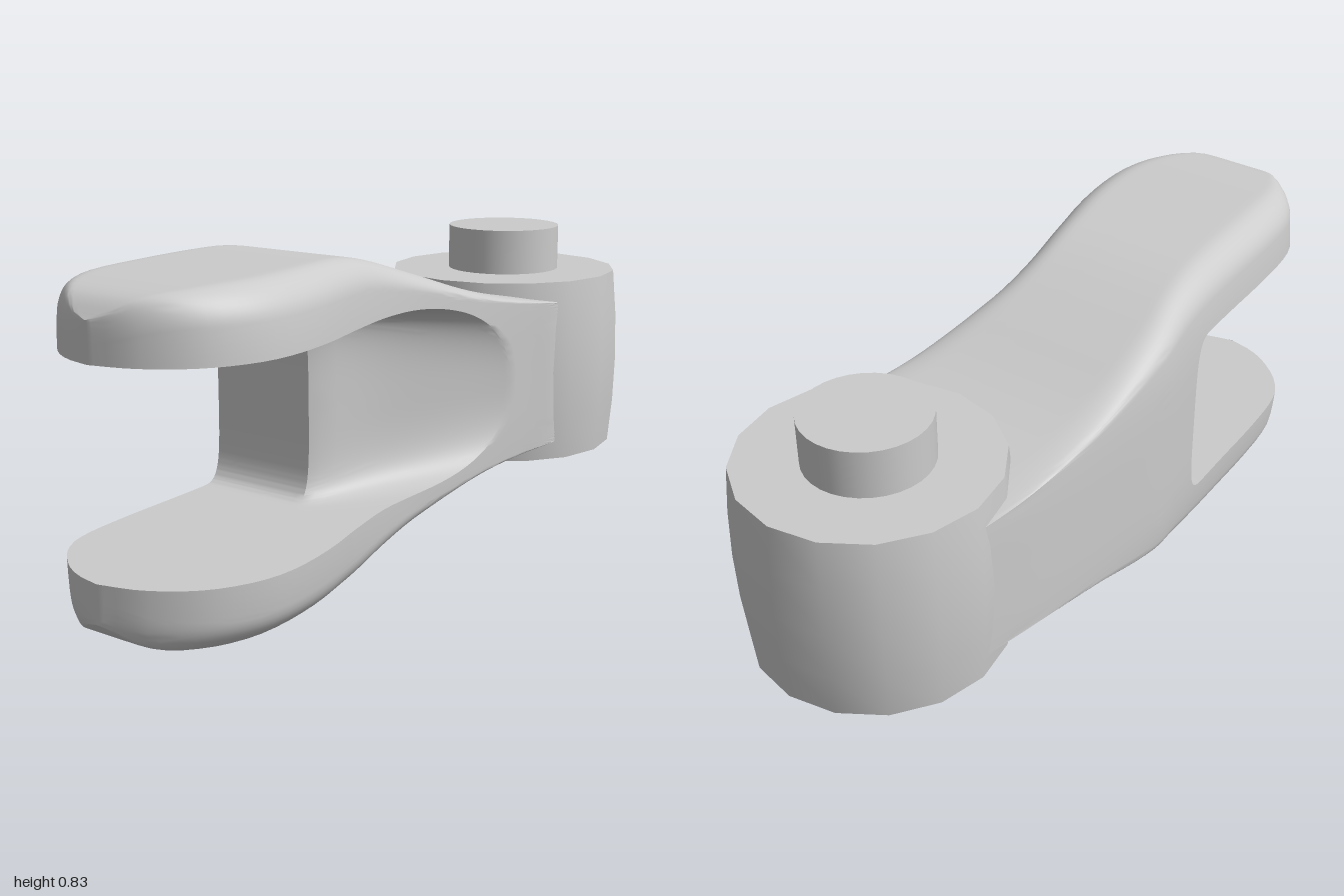
import * as THREE from 'three';
import { mergeGeometries, toCreasedNormals } from 'three/addons/utils/BufferGeometryUtils.js';

const MID = 0.4175;          // height of the mirror plane
const GAP = 0.2475;          // half height of the fork slot
const BACK = -0.65;          // where the body ends inside the barrel
const FLAT_END = 0.4;        // the inner faces are flat from here to the tip
const HOLE = { x: 0, z: 0.67, r: 0.16, depth: 0.125 };

const lerp = THREE.MathUtils.lerp;

// Smooth interpolation through [position, value] pairs
function curve(pts) {
  const slope = i => {
    const a = pts[Math.max(i - 1, 0)], b = pts[Math.min(i + 1, pts.length - 1)];
    return (b[1] - a[1]) / (b[0] - a[0]);
  };
  return z => {
    let i = 0;
    while (i < pts.length - 2 && z > pts[i + 1][0]) i++;
    const [z0, v0] = pts[i], [z1, v1] = pts[i + 1], d = z1 - z0;
    const t = THREE.MathUtils.clamp((z - z0) / d, 0, 1), t2 = t * t, t3 = t2 * t;
    return (2 * t3 - 3 * t2 + 1) * v0 + (t3 - 2 * t2 + t) * d * slope(i)
      + (3 * t2 - 2 * t3) * v1 + (t3 - t2) * d * slope(i + 1);
  };
}

// Plan outline (right and left edges) and half height along z
const edgeNeg = curve([[-0.7, -0.31], [-0.5, -0.335], [-0.2, -0.35], [0.05, -0.35], [0.18, -0.33],
  [0.4, -0.31], [0.65, -0.29], [0.8, -0.265], [0.88, -0.22], [0.95, -0.14], [0.985, -0.07], [1, 0]]);
const edgePos = curve([[-0.7, 0.29], [-0.5, 0.295], [-0.4, 0.27], [-0.3, 0.245], [-0.2, 0.225], [0, 0.193],
  [0.1, 0.19], [0.2, 0.2], [0.35, 0.235], [0.5, 0.275], [0.65, 0.297], [0.75, 0.29], [0.85, 0.25],
  [0.92, 0.19], [0.975, 0.1], [1, 0.01]]);
const halfHeight = curve([[-0.65, 0.19], [-0.5, 0.205], [-0.33, 0.235], [-0.2, 0.268], [0, 0.335],
  [0.2, 0.392], [0.35, 0.411], [0.7, 0.414], [0.85, 0.408], [0.95, 0.39], [1, 0.345]]);

// x across the body: u runs from -1 to 1, narrowing slightly away from the middle
const across = (u, z, h) =>
  lerp(edgeNeg(z), edgePos(z), (u + 1) / 2) * (1 - 0.1 * Math.pow(h / 0.41, 4));

// Slot wall: straight on one side, swept back into a scoop on the other
function wall(u) {
  const t = Math.max(0, (u - 0.2) / 0.8);
  const z = 0.23 - 0.55 * Math.pow(t, 1.15), a = 0.1 + 0.35 * t;
  return { a, start: z + a, p: lerp(0.5, 0.8, t) };
}

// Inner path: flat arm face, then rounded down the wall to the mirror plane
function inner(u, s) {
  const { a, start, p } = wall(u);
  if (s <= 0.3) return [lerp(1, FLAT_END, Math.pow(s / 0.3, 1.8)), GAP];
  if (s <= 0.5) return [lerp(FLAT_END, start, (s - 0.3) / 0.2), GAP];
  const q = (s - 0.5) * Math.PI;
  return [start - a * Math.pow(Math.sin(q), p), GAP * Math.pow(Math.max(0, Math.cos(q)), p)];
}

// Outer path: tip to barrel, with rounded long edges
function outer(u, s) {
  const { start } = wall(u);
  let z = BACK;
  if (s <= 0.3) z = lerp(1, FLAT_END, Math.pow(s / 0.3, 1.8));
  else if (s <= 0.5) z = lerp(FLAT_END, start, (s - 0.3) / 0.2);
  else if (s <= 0.9) z = lerp(start, BACK, (s - 0.5) / 0.4);
  const e = Math.max(0, (Math.abs(u) - 0.72) / 0.28);
  const h = halfHeight(z);
  const drop = 0.075 * (1 - Math.sqrt(Math.max(0, 1 - e * e))) * Math.max(0, (h - 0.19) / 0.22);
  return [z, (h - drop) * (s > 0.9 ? Math.max(0, (1 - s) / 0.1) : 1)];
}

// Grid surface of f(a, b), a and b from 0 to 1
function patch(f, n, m, flip) {
  const pos = [], index = [];
  for (let i = 0; i <= n; i++) for (let j = 0; j <= m; j++) pos.push(...f(i / n, j / m));
  for (let i = 0; i < n; i++) for (let j = 0; j < m; j++) {
    const a = i * (m + 1) + j, b = a + m + 1;
    index.push(...(flip ? [a, b + 1, b, a, a + 1, b + 1] : [a, b, b + 1, a, b + 1, a + 1]));
  }
  const g = new THREE.BufferGeometry();
  g.setAttribute('position', new THREE.Float32BufferAttribute(pos, 3));
  g.setIndex(index);
  return g;
}

// Flat inner face of one arm, optionally with the pin hole
function armFace(side, withHole) {
  const pts = [];
  for (const u of [-1, 1]) for (let i = 0; i <= 18; i++) {
    const z = inner(0, 0.3 * (u < 0 ? i : 18 - i) / 18)[0];
    if (z < 1 || u < 0) pts.push(new THREE.Vector2(across(u, z, GAP), side * z));
  }
  const shape = new THREE.Shape(pts);
  if (withHole) shape.holes.push(new THREE.Path().absarc(HOLE.x, side * HOLE.z, HOLE.r, 0, Math.PI * 2, true));
  const g = new THREE.ShapeGeometry(shape, 16);
  g.rotateX(side * Math.PI / 2).translate(0, MID + side * GAP, 0);
  g.deleteAttribute('normal');
  g.deleteAttribute('uv');
  return g;
}

// One half of the body; side is 1 above the mirror plane, -1 below
function halfBody(side) {
  const low = side < 0;
  const point = (u, s, w) => {
    const a = inner(u, s), b = outer(u, s);
    const z = lerp(a[0], b[0], w), h = lerp(a[1], b[1], w);
    return [across(u, z, h), MID + side * h, z];
  };
  const spread = a => Math.sin((a - 0.5) * Math.PI);   // denser near the edges
  return [
    patch((a, s) => point(spread(a), s, 1), 36, 60, low),
    patch((a, s) => point(spread(a), 0.3 + 0.7 * s, 0), 36, 42, !low),
    patch((s, w) => point(1, s, w), 60, 14, low),
    patch((s, w) => point(-1, s, w), 60, 14, !low),
    patch((a, w) => point(spread(a), 0, w), 36, 3, low),
    armFace(side, !low),
  ];
}

export function createModel() {
  const group = new THREE.Group();
  const grey = new THREE.MeshStandardMaterial({ color: 0xcccccc, side: THREE.DoubleSide });
  const add = (name, geometry, x = 0, y = 0, z = 0) => {
    const mesh = new THREE.Mesh(geometry, grey);
    mesh.name = name;
    mesh.position.set(x, y, z);
    group.add(mesh);
    return mesh;
  };

  // Forked body with the scooped web
  add('forkBody', toCreasedNormals(mergeGeometries([...halfBody(1), ...halfBody(-1)]), 0.6));

  // Bulged barrel at the back
  const profile = [[0, 0.165], [0.325, 0.165], [0.336, 0.29], [0.34, 0.42], [0.336, 0.55], [0.325, 0.675], [0, 0.675]]
    .map(([r, y]) => new THREE.Vector2(r, y));
  add('barrel', toCreasedNormals(new THREE.LatheGeometry(profile, 16), 0.6), 0.01, 0, -0.66);

  // Pin on top of the barrel
  add('pin', new THREE.CylinderGeometry(0.16, 0.16, 0.135, 32), 0.01, 0.7325, -0.66);

  // Blind hole under the upper arm
  const holeBase = MID + GAP;
  add('holeWall', new THREE.CylinderGeometry(HOLE.r, HOLE.r, HOLE.depth, 32, 1, true),
    HOLE.x, holeBase + HOLE.depth / 2, HOLE.z);
  add('holeFloor', new THREE.CircleGeometry(HOLE.r, 32).rotateX(Math.PI / 2),
    HOLE.x, holeBase + HOLE.depth, HOLE.z);
  return group;
}
